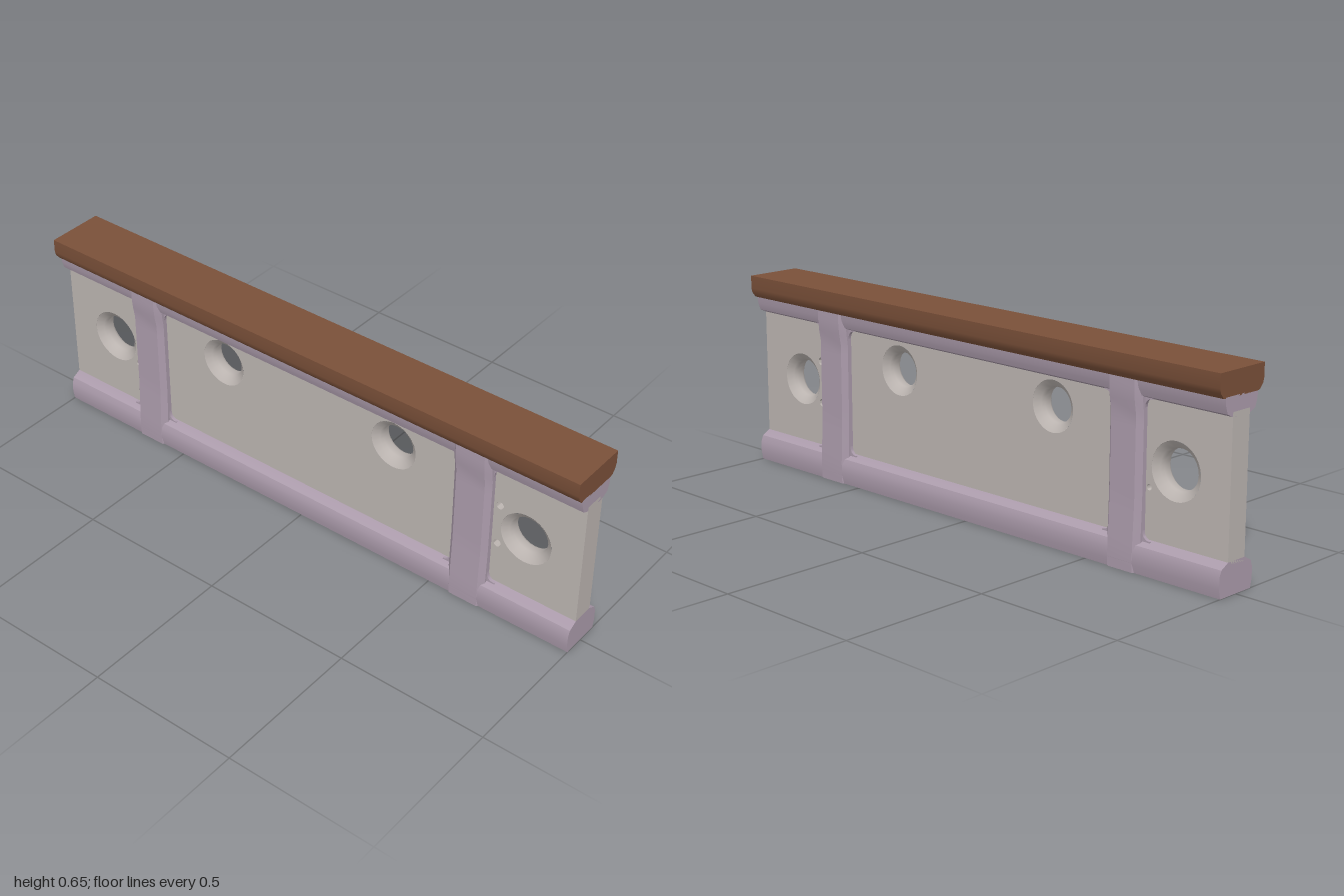
import * as THREE from 'three';
import { toCreasedNormals } from 'three/addons/utils/BufferGeometryUtils.js';

const brown = new THREE.MeshStandardMaterial({ color: 0x7a5039 });
brown.name = 'brown wood';
const lilac = new THREE.MeshStandardMaterial({ color: 0xab9bab });
lilac.name = 'lilac stone';
const grey = new THREE.MeshStandardMaterial({ color: 0xbbb4b0 });
grey.name = 'pale grey plaster';

function add(parent, name, geometry, material) {
  const mesh = new THREE.Mesh(toCreasedNormals(geometry, 0.6), material);
  mesh.name = name;
  parent.add(mesh);
  return mesh;
}

// Mirrors half a [z, y] profile, listed bottom to top, and runs it along x
function beam(half) {
  const outline = [...half, ...half.slice().reverse().map(([z, y]) => [-z, y])];
  const shape = new THREE.Shape(outline.map(([z, y]) => new THREE.Vector2(z, y)));
  const geometry = new THREE.ExtrudeGeometry(shape, { depth: 2, bevelEnabled: false });
  return geometry.translate(0, 0, -1).rotateY(Math.PI / 2);
}

// Chamfered pillar, a little thicker towards the foot and head
function postGeometry(width) {
  const w = width / 2, c = 0.016, d = 0.068;
  const half = [[w, d - c], [w - c, d], [c - w, d], [-w, d - c]];
  const outline = [...half, ...half.map(([x, z]) => [-x, -z])];
  const shape = new THREE.Shape(outline.map(([x, z]) => new THREE.Vector2(x, z)));
  const height = 0.58;
  const geometry = new THREE.ExtrudeGeometry(shape, { depth: height, steps: 16, bevelEnabled: false });
  geometry.rotateX(-Math.PI / 2);
  const p = geometry.attributes.position;
  for (let i = 0; i < p.count; i++) {
    const y = p.getY(i);
    const foot = Math.max(0, 1 - Math.abs(y - 0.05) / 0.16);
    const head = THREE.MathUtils.smoothstep(y, 0.47, 0.53);
    p.setZ(i, p.getZ(i) * (1 + 0.1 * foot + 0.14 * head));
  }
  geometry.computeVertexNormals();
  return geometry;
}

// Small concave corner piece between a pillar and a rail
function filletGeometry(x, y, dx, dy) {
  const r = 0.028, shape = new THREE.Shape();
  shape.moveTo(x - dx * 0.01, y - dy * 0.01);
  shape.lineTo(x + dx * r, y - dy * 0.01);
  shape.lineTo(x + dx * r, y);
  shape.quadraticCurveTo(x, y, x, y + dy * r);
  shape.lineTo(x - dx * 0.01, y + dy * r);
  return new THREE.ExtrudeGeometry(shape, { depth: 0.096, bevelEnabled: false, curveSegments: 5 })
    .translate(0, 0, -0.048);
}

export function createModel() {
  const model = new THREE.Group();
  model.name = 'balustrade';
  const face = 0.037;

  // Handrail and the two stone rails
  add(model, 'handrail', beam([
    [0.07, 0.572], [0.08, 0.574], [0.093, 0.59], [0.097, 0.605], [0.097, 0.648],
  ]), brown);
  add(model, 'bottomRail', beam([
    [0.068, 0], [0.074, 0.03], [0.073, 0.065], [0.066, 0.084], [0.037, 0.1], [0.02, 0.1],
  ]), lilac);
  add(model, 'topRail', beam([
    [0.02, 0.515], [0.037, 0.516], [0.061, 0.527], [0.069, 0.55], [0.072, 0.576],
  ]), lilac);

  // Pillars with rounded inner corners
  const posts = [{ name: 'rightPost', x: -0.637, w: 0.125 }, { name: 'leftPost', x: 0.628, w: 0.132 }];
  for (const { name, x, w } of posts) {
    const group = new THREE.Group();
    group.name = name;
    add(group, 'pillar', postGeometry(w), lilac).position.x = x;
    for (const dx of [-1, 1]) {
      add(group, 'cornerFillet', filletGeometry(x + dx * w / 2, 0.098, dx, 1), lilac);
      add(group, 'cornerFillet', filletGeometry(x + dx * w / 2, 0.518, dx, -1), lilac);
    }
    model.add(group);
  }

  // Infill panel, pierced by round openings and a few small chips
  const openings = [[-0.808, 0.322, 0.063], [-0.336, 0.425, 0.055], [0.33, 0.421, 0.056], [0.81, 0.312, 0.061]];
  const chips = [[0.715, 0.388, 0.013], [0.714, 0.246, 0.013], [-0.712, 0.256, 0.009]];
  const dish = 0.026;
  const panel = new THREE.Shape([[-1, 0.08], [1, 0.08], [1, 0.53], [-1, 0.53]]
    .map(([x, y]) => new THREE.Vector2(x, y)));
  const pierce = (x, y, r) => panel.holes.push(new THREE.Path().absarc(x, y, r, 0, Math.PI * 2, true));
  for (const [x, y, r] of openings) pierce(x, y, r + dish);
  for (const [x, y, r] of chips) pierce(x, y, r);
  add(model, 'panel', new THREE.ExtrudeGeometry(panel, {
    depth: face * 2, bevelEnabled: false, curveSegments: 24,
  }).translate(0, 0, -face), grey);

  // Dished rims around the openings
  for (const [x, y, r] of openings) {
    const profile = [[r + dish, face], [r + 0.006, 0.022], [r, 0.012], [r, -0.012], [r + 0.006, -0.022], [r + dish, -face]];
    const rim = new THREE.LatheGeometry(profile.map(([a, b]) => new THREE.Vector2(a, b)), 24);
    rim.rotateX(Math.PI / 2);
    add(model, 'openingRim', rim, grey).position.set(x, y, 0);
  }
  return model;
}
